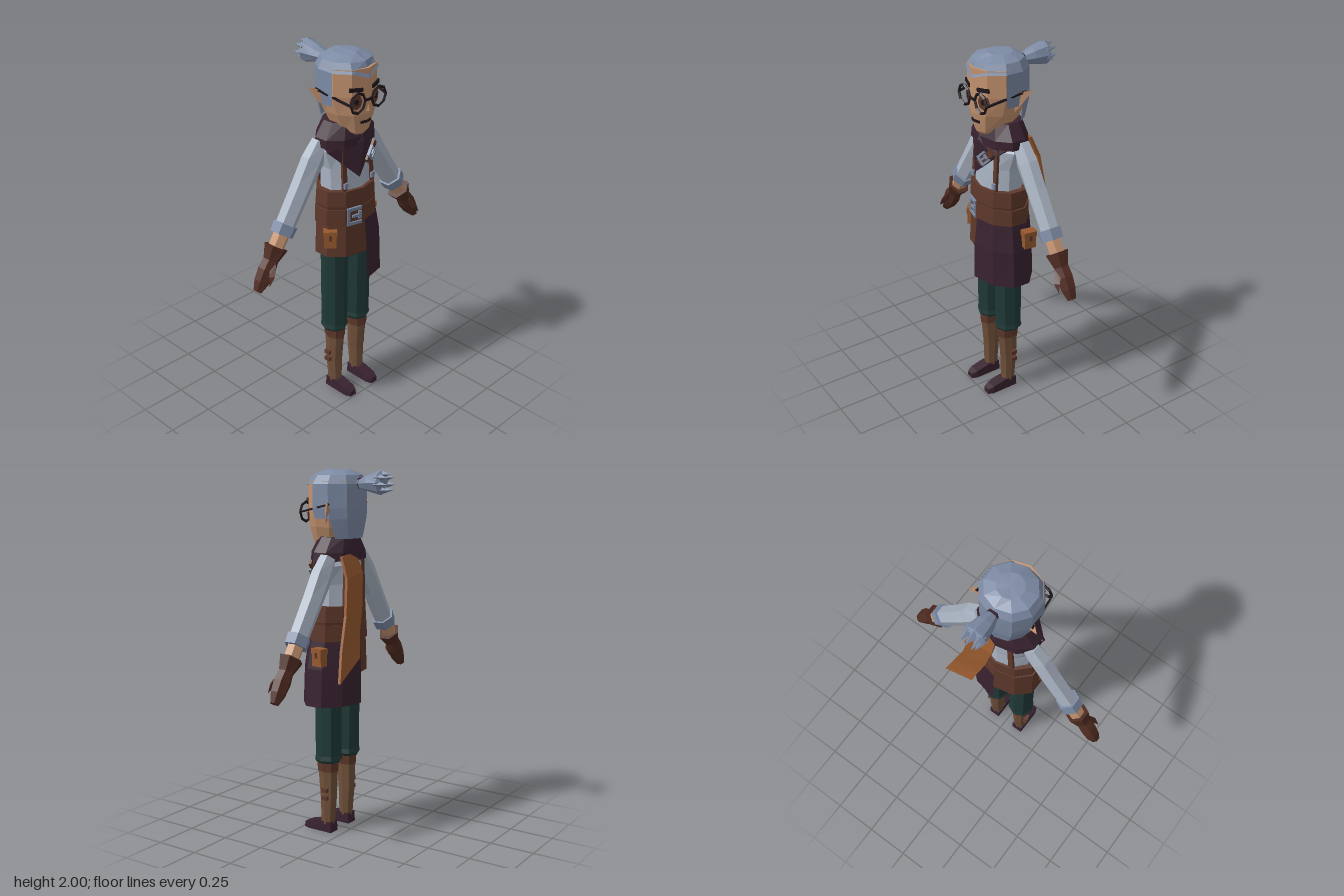
import * as THREE from 'three';
import { ConvexGeometry } from 'three/addons/geometries/ConvexGeometry.js';

const paint = (name, color, open) => {
  const m = new THREE.MeshStandardMaterial({ color, flatShading: true });
  m.name = name;
  if (open) m.side = THREE.DoubleSide;
  return m;
};

export function createModel() {
  const model = new THREE.Group();
  model.name = 'craftsman';
  const skin = paint('skin', 0xc4926f), hair = paint('blueGrey', 0x7d8ba5, true);
  const shirt = paint('shirt', 0xa9b3c2), plum = paint('plum', 0x38222f, true);
  const leather = paint('leather', 0x5e382b), glove = paint('gloveBrown', 0x502c22);
  const tan = paint('tan', 0x96592f, true), green = paint('trouserGreen', 0x203a37);
  const boot = paint('bootBrown', 0x70503a), black = paint('black', 0x1e161b);

  const add = (name, geo, mat, parent = model) => {
    const m = new THREE.Mesh(geo, mat);
    m.name = name;
    parent.add(m);
    return m;
  };
  const box = (name, w, h, d, mat, x, y, z, parent) => {
    const m = add(name, new THREE.BoxGeometry(w, h, d), mat, parent);
    m.position.set(x, y, z);
    return m;
  };
  const hull = (name, pts, mat, parent) =>
    add(name, new ConvexGeometry(pts.map(p => new THREE.Vector3(...p))), mat, parent);

  // faceted skin over rings [y, radiusX, radiusZ, centreZ], lowest first; angle 0 is the front
  const loft = (rings, n, start = 0, steps = n) => {
    const at = ([y, rx, rz, cz = 0], i) => {
      const a = ((start + i) / n) * Math.PI * 2;
      return [Math.sin(a) * rx, y, Math.cos(a) * rz + cz];
    };
    const centre = r => [0, r[0], r[3] || 0];
    const pos = [], last = rings[rings.length - 1];
    for (let i = 0; i < steps; i++) {
      for (let k = 0; k + 1 < rings.length; k++) {
        const a = at(rings[k], i), b = at(rings[k], i + 1);
        const c = at(rings[k + 1], i + 1), d = at(rings[k + 1], i);
        pos.push(...a, ...b, ...c, ...a, ...c, ...d);
      }
      if (steps === n) {
        pos.push(...centre(rings[0]), ...at(rings[0], i + 1), ...at(rings[0], i));
        pos.push(...centre(last), ...at(last, i), ...at(last, i + 1));
      }
    }
    const g = new THREE.BufferGeometry();
    g.setAttribute('position', new THREE.Float32BufferAttribute(pos, 3));
    g.computeVertexNormals();
    return g;
  };

  // flat bar between two points
  const beam = (name, a, b, w, d, mat) => {
    const from = new THREE.Vector3(...a), dir = new THREE.Vector3(...b).sub(from);
    const m = add(name, new THREE.BoxGeometry(w, dir.length(), d), mat);
    m.position.copy(from).addScaledVector(dir, 0.5);
    m.quaternion.setFromUnitVectors(new THREE.Vector3(0, 1, 0), dir.normalize());
    return m;
  };

  // square buckle: frame plus prong
  const buckle = (w, h, t, x, y, z, turn) => {
    const g = new THREE.Group();
    g.name = 'buckle';
    for (const s of [-1, 1]) {
      box('buckleRail', w, t, 0.014, hair, 0, s * (h - t) / 2, 0, g);
      box('buckleSide', t, s < 0 ? h : h * 0.45, 0.014, hair, s * (w - t) / 2, 0, 0, g);
    }
    box('bucklePin', w * 0.6, t * 0.8, 0.012, hair, w * 0.15, 0, 0.003, g);
    g.position.set(x, y, z);
    g.rotation.set(0, turn[0], turn[1]);
    model.add(g);
  };

  // head and hair
  add('head', loft([[1.57, 0.05, 0.06, 0.13], [1.6, 0.085, 0.105, 0.115], [1.7, 0.13, 0.14, 0.1],
    [1.8, 0.155, 0.152, 0.09], [1.94, 0.153, 0.15, 0.09]], 10), skin);
  add('neck', loft([[1.5, 0.07, 0.07, 0.07], [1.68, 0.07, 0.07, 0.08]], 8), skin);
  const cap = loft([[1.922, 0.163, 0.158, 0.09], [1.97, 0.135, 0.13, 0.085], [1.995, 0.07, 0.07, 0.08]], 10);
  const cp = cap.attributes.position;
  for (let i = 0; i < cp.count; i++) {
    if (Math.abs(cp.getX(i)) < 0.01 && cp.getZ(i) > 0.2 && cp.getY(i) < 1.93) cp.setY(i, 1.888);
    if (Math.abs(cp.getX(i)) < 0.01 && cp.getY(i) > 1.99) cp.setY(i, 2);
  }
  cap.computeVertexNormals();
  add('hairCap', cap, hair);
  add('hairSides', loft([[1.745, 0.154, 0.153, 0.085], [1.8, 0.163, 0.16, 0.09],
    [1.925, 0.163, 0.158, 0.09]], 10, 2, 6), hair);
  add('hairNape', loft([[1.64, 0.115, 0.11, 0.06], [1.745, 0.154, 0.153, 0.085]], 10, 3, 4), hair);

  // ponytail pointing backwards
  const tail = new THREE.Group();
  tail.name = 'ponytail';
  tail.position.set(0, 1.925, -0.045);
  tail.rotation.x = -Math.PI / 2;
  model.add(tail);
  add('hairTie', loft([[-0.01, 0.032, 0.032], [0.018, 0.032, 0.032]], 8), plum, tail);
  add('tailBody', loft([[0.01, 0.028, 0.025], [0.07, 0.05, 0.045, 0.005],
    [0.145, 0.062, 0.064, 0.008], [0.16, 0.045, 0.045, 0.008]], 8), hair, tail);
  for (let i = 0; i < 7; i++) {
    const a = (i / 7) * Math.PI * 2;
    const tip = add('tailTip', new THREE.ConeGeometry(0.024, 0.07, 4), hair, tail);
    tip.position.set(Math.sin(a) * 0.042, 0.168, Math.cos(a) * 0.042 + 0.008);
  }

  // face
  hull('nose', [[0, 1.77, 0.238], [-0.02, 1.715, 0.23], [0.02, 1.715, 0.23], [0, 1.718, 0.248]], skin);
  for (const s of [-1, 1]) {
    hull('ear', [[s * 0.135, 1.815, 0.08], [s * 0.13, 1.71, 0.075], [s * 0.135, 1.78, 0.035],
      [s * 0.16, 1.76, 0.05], [s * 0.2, 1.835, 0.013]], skin);
    for (const [name, r, mat, off] of [['iris', 0.034, leather, 0], ['pupil', 0.013, black, 0.003]]) {
      const e = add(name, new THREE.CylinderGeometry(r, r, 0.008, 8).rotateX(Math.PI / 2), mat);
      e.scale.y = 1.2;
      e.position.set(s * 0.07, 1.775, 0.219 + off);
      e.rotation.y = s * 0.32;
    }
    box('eyebrow', 0.075, 0.02, 0.009, black, s * 0.07, 1.838, 0.221).rotation.set(0, s * 0.32, s * 0.1);
    box('mouth', 0.036, 0.014, 0.009, black, s * 0.018, 1.66, 0.227).rotation.set(0, s * 0.36, -s * 0.08);
    add('glassesRim', new THREE.TorusGeometry(0.052, 0.008, 4, 8), black).position.set(s * 0.075, 1.775, 0.24);
    beam('glassesArm', [s * 0.13, 1.775, 0.238], [s * 0.163, 1.822, 0.03], 0.01, 0.01, black);
  }
  box('glassesBridge', 0.05, 0.012, 0.012, black, 0, 1.78, 0.242);

  // shirt, braces and waist
  add('shirtBody', loft([[1.25, 0.15, 0.12, 0.082], [1.4, 0.148, 0.112, 0.08], [1.5, 0.175, 0.105, 0.07],
    [1.565, 0.12, 0.08, 0.06]], 10), shirt);
  for (const s of [-1, 1]) {
    beam('braceFront', [s * 0.1, 1.27, 0.177], [s * 0.095, 1.54, 0.158], 0.03, 0.014, leather);
    beam('braceBack', [s * 0.085, 1.27, -0.018], [s * 0.075, 1.55, -0.02], 0.03, 0.014, leather);
    box('braceClip', 0.026, 0.03, 0.012, hair, s * 0.1, 1.315, 0.184);
  }
  add('waistband', loft([[1.17, 0.178, 0.132, 0.085], [1.2, 0.186, 0.137, 0.085], [1.285, 0.182, 0.132, 0.085]], 10), leather);
  add('belt', loft([[1.095, 0.194, 0.14, 0.085], [1.185, 0.192, 0.138, 0.085]], 10), leather);
  buckle(0.088, 0.1, 0.018, -0.063, 1.14, 0.21, [-0.26, 0]);
  add('leatherSkirt', loft([[0.91, 0.196, 0.142, 0.088], [1.1, 0.185, 0.134, 0.085]], 10), leather);
  add('apron', loft([[0.745, 0.236, 0.158, 0.092], [0.95, 0.224, 0.155, 0.09], [1.098, 0.196, 0.142, 0.085]], 10, 0, 5), plum);

  // belt pouches
  for (const [x, z, turn] of [[-0.175, 0.145, -0.75], [0.225, 0.05, 1.4]]) {
    const g = new THREE.Group();
    g.name = 'pouch';
    box('pouchBody', 0.065, 0.075, 0.045, tan, 0, -0.012, 0, g);
    box('pouchFlap', 0.072, 0.03, 0.053, tan, 0, 0.032, 0, g);
    box('pouchTab', 0.014, 0.03, 0.006, leather, 0, 0.012, 0.027, g);
    g.position.set(x, 1.025, z);
    g.rotation.y = turn;
    model.add(g);
  }

  // neckerchief with clasp
  add('scarfCollar', loft([[1.525, 0.19, 0.128, 0.08], [1.57, 0.185, 0.125, 0.08], [1.648, 0.125, 0.1, 0.075]], 10), plum);
  hull('scarfFront', [[-0.19, 1.56, 0.1], [-0.182, 1.51, 0.13], [-0.03, 1.355, 0.215], [-0.04, 1.4, 0.18],
    [0.168, 1.54, 0.11], [0.1, 1.48, 0.175], [0, 1.6, 0.195], [0, 1.55, 0.215], [-0.1, 1.56, 0.06], [0.1, 1.56, 0.06]], plum);
  box('claspStrap', 0.12, 0.035, 0.014, leather, 0.06, 1.47, 0.207).rotation.set(0, 0.3, 0.75);
  buckle(0.06, 0.06, 0.012, 0.055, 1.465, 0.217, [0.3, 0.75]);

  // shoulder cape: rows of inner x, inner y, outer x, outer y, z
  const rows = [[0, 1.57, 0.13, 1.55, -0.025], [0, 1.46, 0.145, 1.44, -0.068], [0.03, 1.29, 0.18, 1.25, -0.085],
    [0.07, 1.14, 0.235, 1.07, -0.095], [0.1, 1.02, 0.285, 0.91, -0.118]];
  const cape = new THREE.BoxGeometry(1, 4, 0.016, 1, 4, 1).toNonIndexed();
  const kp = cape.attributes.position;
  for (let i = 0; i < kp.count; i++) {
    const r = rows[Math.round(2 - kp.getY(i))], outer = kp.getX(i) > 0;
    kp.setXYZ(i, outer ? r[2] : r[0], outer ? r[3] : r[1], r[4] + kp.getZ(i));
  }
  cape.computeVertexNormals();
  add('cape', cape, tan);

  // arms, each hanging outwards along its own axis
  for (const s of [-1, 1]) {
    const arm = new THREE.Group();
    arm.name = s > 0 ? 'leftArm' : 'rightArm';
    arm.position.set(s * 0.17, 1.5, 0.048);
    arm.rotation.z = s * 0.595;
    model.add(arm);
    add('sleeve', loft([[-0.43, 0.058, 0.05, 0.002], [-0.2, 0.062, 0.053], [-0.06, 0.07, 0.052], [0.045, 0.052, 0.045]], 6), shirt, arm);
    add('cuff', loft([[-0.468, 0.066, 0.062, 0.002], [-0.41, 0.07, 0.065, 0.002]], 6), hair, arm);
    add('wrist', loft([[-0.56, 0.042, 0.042, 0.002], [-0.45, 0.045, 0.045, 0.002]], 6), skin, arm);
    add('glove', loft([[-0.785, 0.022, 0.026, 0.005], [-0.73, 0.042, 0.042, 0.005], [-0.665, 0.05, 0.046, 0.005],
      [-0.61, 0.042, 0.042, 0.004], [-0.535, 0.07, 0.062, 0.002]], 6), glove, arm);
    hull('thumb', [[-0.02, -0.62, 0.02], [0.02, -0.62, 0.02], [0, -0.62, 0.05], [-0.018, -0.69, 0.055],
      [0.018, -0.69, 0.055], [0, -0.68, 0.075], [0, -0.735, 0.068]], glove, arm);
  }

  // legs
  add('hips', loft([[0.87, 0.13, 0.085, 0.088], [1.0, 0.165, 0.115, 0.088]], 10), green);
  for (const s of [-1, 1]) {
    const leg = new THREE.Group();
    leg.name = s > 0 ? 'leftLeg' : 'rightLeg';
    leg.position.set(s * 0.088, 0, 0.09);
    model.add(leg);
    add('trouserLeg', loft([[0.41, 0.066, 0.068], [0.425, 0.076, 0.077], [0.45, 0.07, 0.073], [0.93, 0.072, 0.077]], 8), green, leg);
    add('kneeBand', loft([[0.355, 0.05, 0.063, 0.004], [0.42, 0.056, 0.064, 0.004]], 8), leather, leg);
    add('bootShaft', loft([[0.045, 0.035, 0.04, 0.005], [0.2, 0.041, 0.049], [0.37, 0.047, 0.06, 0.004]], 8), boot, leg);
    for (const y of [0.205, 0.25])
      box('bootClasp', 0.02, 0.022, 0.036, leather, s * 0.048, y, -0.005, leg);
    const foot = [];
    for (const k of [-1, 1])
      foot.push([k * 0.033, 0, -0.035], [k * 0.033, 0.06, -0.032], [k * 0.032, 0.06, 0.045],
        [k * 0.034, 0, 0.12], [k * 0.031, 0.042, 0.12], [k * 0.022, 0, 0.152], [k * 0.02, 0.03, 0.15]);
    hull('shoe', foot, plum, leg);
  }
  return model;
}
